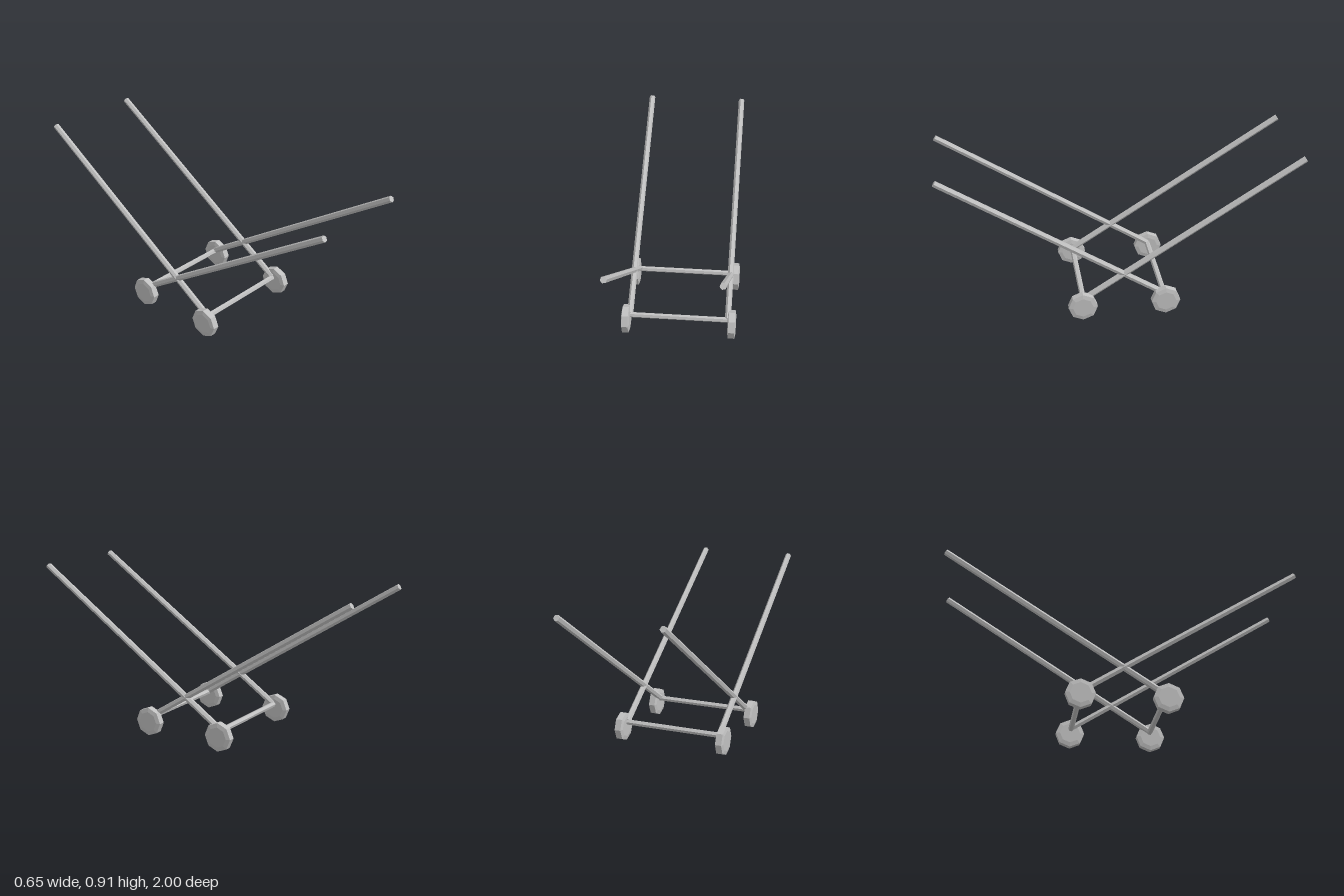
import * as THREE from 'three';

const metal = new THREE.MeshStandardMaterial({ color: 0xc0c0c0 });
metal.name = 'grey';

// Facets a geometry so every side reads flat
function faceted(geometry) {
  const g = geometry.toNonIndexed();
  g.computeVertexNormals();
  return g;
}

// Six-sided bar between two points
function bar(name, from, to, radius, twist) {
  const a = new THREE.Vector3(...from);
  const b = new THREE.Vector3(...to);
  const geometry = new THREE.CylinderGeometry(radius, radius, a.distanceTo(b), 6);
  geometry.rotateY(twist);
  const mesh = new THREE.Mesh(faceted(geometry), metal);
  mesh.name = name;
  mesh.position.copy(a).add(b).multiplyScalar(0.5);
  mesh.quaternion.setFromUnitVectors(new THREE.Vector3(0, 1, 0), b.sub(a).normalize());
  return mesh;
}

// Eight-sided wheel with slightly raised faces
function wheel(name, x, z) {
  const profile = [[0, -0.023], [0.058, -0.023], [0.082, -0.018], [0.082, 0.018], [0.058, 0.023], [0, 0.023]]
    .map(([r, y]) => new THREE.Vector2(r, y));
  const geometry = new THREE.LatheGeometry(profile, 8).rotateZ(Math.PI / 2);
  const mesh = new THREE.Mesh(faceted(geometry), metal);
  mesh.name = name;
  mesh.position.set(x, 0.082, z);
  return mesh;
}

export function createModel() {
  const group = new THREE.Group();
  group.name = 'crossedPoleFrame';

  for (const front of [1, -1]) {
    const end = front > 0 ? 'front' : 'back';
    // Axle joining the two wheels of this end
    group.add(bar(end + 'Axle', [-0.285, 0.107, front * 0.23], [0.285, 0.107, front * 0.23], 0.0158, 0.2));

    for (const side of [1, -1]) {
      const hand = side > 0 ? 'Left' : 'Right';
      group.add(wheel(end + hand + 'Wheel', side * 0.303, front * 0.235));
      // Long pole rising from this axle and crossing its partner
      const x = side * 0.28;
      group.add(bar(end + hand + 'Pole', [x, 0.112, front * 0.228], [x, 0.897, front * -0.99], 0.0175, Math.PI / 2 + 0.2));
    }
  }
  return group;
}
